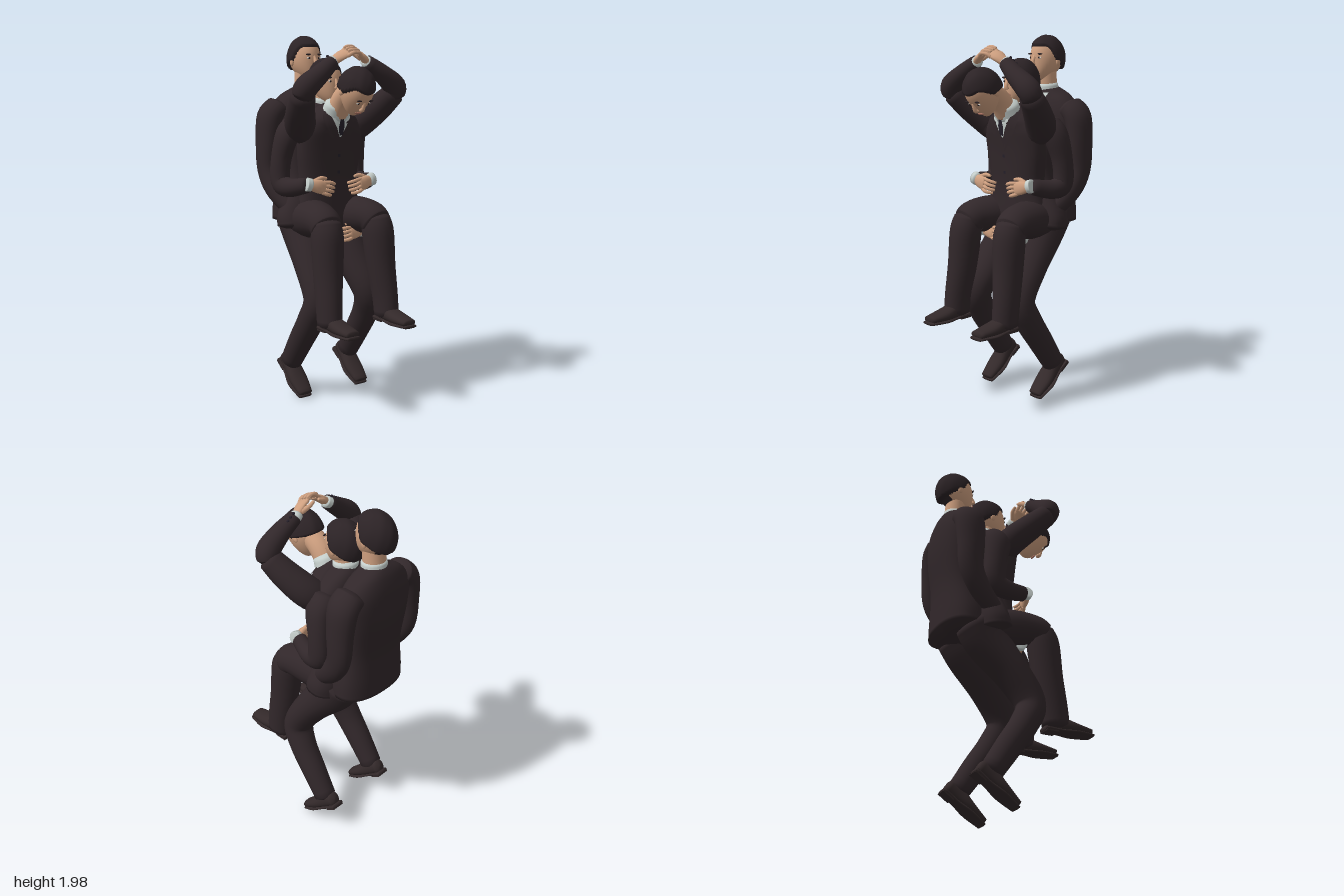
import * as THREE from 'three';
import { mergeGeometries } from 'three/addons/utils/BufferGeometryUtils.js';

const V3 = (x, y, z) => new THREE.Vector3(x, y, z);
const X = V3(1, 0, 0), Y = V3(0, 1, 0), Z = V3(0, 0, 1);
const mat = (name, color) => Object.assign(new THREE.MeshStandardMaterial({ color }), { name });

// Smooth closed body through stations [x, y, z, half width along ref, half depth]
function loft(stations, ref = X, seg = 20, power = 1) {
  const pos = new THREE.CatmullRomCurve3(stations.map(s => V3(s[0], s[1], s[2])), false, 'catmullrom');
  const rad = new THREE.CatmullRomCurve3(stations.map(s => V3(s[3], s[4] ?? s[3], 0)), false, 'catmullrom');
  const steps = (stations.length - 1) * 5, verts = [], index = [];
  const bend = v => Math.sign(v) * Math.abs(v) ** power;
  const ring = (t, scale, push) => {
    const T = pos.getTangent(t), r = rad.getPoint(t);
    const U = ref.clone().addScaledVector(T, -T.dot(ref)).normalize(), W = T.clone().cross(U);
    const c = pos.getPoint(t).addScaledVector(T, push * Math.min(r.x, r.y));
    for (let j = 0; j < seg; j++) {
      const a = j / seg * Math.PI * 2;
      verts.push(...c.clone().addScaledVector(U, bend(Math.cos(a)) * r.x * scale)
        .addScaledVector(W, bend(Math.sin(a)) * r.y * scale).toArray());
    }
  };
  ring(0, 0.001, -0.35); ring(0, 0.65, -0.25);
  for (let i = 0; i <= steps; i++) ring(i / steps, 1, 0);
  ring(1, 0.65, 0.25); ring(1, 0.001, 0.35);
  for (let i = 0; i < steps + 4; i++) for (let j = 0; j < seg; j++) {
    const a = i * seg + j, b = i * seg + (j + 1) % seg;
    index.push(a, b, a + seg, b, b + seg, a + seg);
  }
  return build(verts, index);
}

function build(verts, index) {
  const g = new THREE.BufferGeometry();
  g.setAttribute('position', new THREE.Float32BufferAttribute(verts, 3));
  g.setIndex(index);
  g.computeVertexNormals();
  return g;
}

// Mirror across x = 0, keeping faces outward
function mirrored(g) {
  const m = g.clone().scale(-1, 1, 1), i = m.index.array;
  for (let k = 0; k < i.length; k += 3) [i[k], i[k + 1]] = [i[k + 1], i[k]];
  m.computeVertexNormals();
  return m;
}

// Reshape a unit sphere by a rule
function blob(rule, w = 40, h = 30) {
  const g = new THREE.SphereGeometry(1, w, h), p = g.attributes.position;
  for (let i = 0; i < p.count; i++) p.setXYZ(i, ...rule(p.getX(i), p.getY(i), p.getZ(i)));
  g.computeVertexNormals();
  return g;
}
const ellipsoid = (x, y, z, a, b, c) => blob((u, v, w) => [x + u * a, y + v * b, z + w * c], 16, 12);

// Hand: fingers along +x, back of the hand +y, thumb on +z
function handGeometry() {
  const parts = [loft([[-0.02, 0, 0, 0.026, 0.021], [0.03, 0.004, 0, 0.036, 0.018], [0.072, 0, 0, 0.037, 0.013]], Z, 14)];
  for (let k = 0; k < 4; k++) {
    const z = (k - 1.5) * 0.019, l = k === 0 ? 0.85 : 1;
    parts.push(loft([[0.06, 0, z, 0.0105], [0.06 + 0.037 * l, 0.003, z * 1.15, 0.01],
      [0.06 + 0.062 * l, -0.01, z * 1.15, 0.009], [0.06 + 0.076 * l, -0.028, z * 1.1, 0.0075]], Z, 8));
  }
  parts.push(loft([[0.01, -0.006, 0.02, 0.016], [0.045, -0.014, 0.046, 0.012], [0.08, -0.02, 0.052, 0.008]], Y, 8));
  return mergeGeometries(parts);
}

// Shoe: heel at the origin, sole on y = 0, toe along +z
function shoeGeometry() {
  return mergeGeometries([
    loft([[0, 0.05, 0.01, 0.036, 0.04], [0, 0.05, 0.08, 0.043, 0.045], [0, 0.038, 0.17, 0.054, 0.032], [0, 0.03, 0.27, 0.042, 0.02]], X, 20, 0.9),
    loft([[0, 0.012, 0, 0.04, 0.012], [0, 0.01, 0.09, 0.042, 0.009], [0, 0.01, 0.18, 0.06, 0.009], [0, 0.012, 0.28, 0.042, 0.009]], X, 20, 0.7),
    new THREE.BoxGeometry(0.074, 0.022, 0.07).translate(0, 0.008, 0.035)
  ].map(g => { g.deleteAttribute('uv'); return g; }));
}

export function createModel() {
  const model = new THREE.Group();
  const suit = mat('suit cloth', 0x31272a), hairMat = mat('dark hair', 0x2c2326), skin = mat('skin', 0xcfa080);
  const shirt = mat('shirt', 0xc5cecb), tieMat = mat('tie', 0x25202a), leather = mat('shoe leather', 0x33292a);
  const lips = mat('lips', 0xa87060), white = mat('eye white', 0xd8d4cc);

  const add = (parent, name, geo, material) => {
    const m = new THREE.Mesh(geo, material);
    m.name = name;
    parent.add(m);
    return m;
  };
  const pair = (parent, name, geo, material) => {
    add(parent, name + 'Left', geo, material);
    add(parent, name + 'Right', mirrored(geo), material);
  };
  const man = name => { const g = new THREE.Group(); g.name = name; model.add(g); return g; };

  // Head, facing +z about its own centre
  function head(parent, x, y, z, tilt = 0) {
    const g = new THREE.Group();
    g.name = 'head';
    g.position.set(x, y, z);
    g.rotation.x = tilt;
    parent.add(g);
    add(g, 'face', blob((u, v, w) => {
      const t = Math.max(0, -v);
      return [u * 0.081 * (1 - 0.25 * t * t), v * 0.122, w * 0.1 + 0.045 * t * t];
    }), skin);
    add(g, 'hair', blob((u, v, w) => {
      const line = w > 0 ? -0.12 + 0.66 * THREE.MathUtils.smoothstep(w, 0.05, 0.6) : -0.12 + 0.5 * w;
      const wave = 0.012 * Math.sin(9 * u + 4 * v) * Math.cos(7 * w);
      const k = 0.85 + (0.22 + wave) * THREE.MathUtils.smoothstep(v, line - 0.06, line + 0.06);
      return [u * 0.087 * k, v * 0.119 * k, w * 0.109 * k - 0.004];
    }, 56, 44), hairMat);
    pair(g, 'ear', ellipsoid(0.083, -0.015, -0.005, 0.009, 0.026, 0.016), skin);
    pair(g, 'eye', ellipsoid(0.031, 0.004, 0.09, 0.014, 0.006, 0.004), white);
    pair(g, 'pupil', ellipsoid(0.031, 0.004, 0.093, 0.006, 0.006, 0.003), hairMat);
    pair(g, 'brow', ellipsoid(0.033, 0.024, 0.09, 0.02, 0.005, 0.005), hairMat);
    add(g, 'nose', loft([[0, 0.015, 0.093, 0.008], [0, -0.018, 0.11, 0.011], [0, -0.034, 0.107, 0.015, 0.012]], X, 12), skin);
    add(g, 'mouth', ellipsoid(0, -0.065, 0.1, 0.024, 0.007, 0.005), lips);
  }

  // Panel laid over the front of a torso: rows [y, left x, right x]
  function drape(parent, name, torso, rows, lift, material, twoSided) {
    const ray = new THREE.Raycaster(), verts = [], index = [], n = 7;
    rows.forEach(([y, a, b], i) => {
      for (let j = 0; j < n; j++) {
        const x = a + (b - a) * j / (n - 1);
        ray.set(V3(x, y, 2), V3(0, 0, -1));
        const hit = ray.intersectObject(torso)[0];
        verts.push(x, y, (hit ? hit.point.z : torso.userData.z) + lift);
        if (i && j) {
          const d = i * n + j, c = d - n;
          index.push(c - 1, d - 1, c, c, d - 1, d);
        }
      }
    });
    const g = build(verts, index);
    twoSided ? pair(parent, name, g, material) : add(parent, name, g, material);
  }

  // Shirt front, tie and lapels hanging from a neckline at height y
  function dress(parent, torso, y) {
    const rows = list => list.map(([d, a, b]) => [y - d, a, b]);
    drape(parent, 'shirtFront', torso, rows([[0, -0.07, 0.07], [0.04, -0.06, 0.06], [0.09, -0.03, 0.03], [0.14, -0.004, 0.004]]), 0.004, shirt);
    drape(parent, 'tie', torso, rows([[0.015, -0.016, 0.016], [0.04, -0.01, 0.01], [0.08, -0.018, 0.018], [0.13, -0.012, 0.012]]), 0.009, tieMat);
    drape(parent, 'lapel', torso, rows([[0, 0.07, 0.085], [0.04, 0.056, 0.105], [0.09, 0.028, 0.09], [0.15, 0.004, 0.06], [0.22, -0.004, 0.006]]), 0.007, suit, true);
  }

  function torso(parent, stations) {
    const t = add(parent, 'jacket', loft(stations, X, 40, 0.85), suit);
    t.userData.z = stations.at(-1)[2] + stations.at(-1)[4];
    return t;
  }

  // Place a mirrored pair of hands with white cuffs
  function hands(parent, wrist, dir, back) {
    const d = V3(...dir).normalize(), side = d.clone().cross(V3(...back)).normalize();
    const m = new THREE.Matrix4().makeBasis(d, side.clone().cross(d), side).setPosition(...wrist);
    pair(parent, 'hand', handGeometry().applyMatrix4(m), skin);
    pair(parent, 'cuff', loft([[-0.035, 0, 0, 0.037, 0.032], [-0.008, 0, 0, 0.035, 0.03]], Z, 16).applyMatrix4(m), shirt);
  }

  const shoes = (parent, x, y, z, tilt) =>
    pair(parent, 'shoe', shoeGeometry().rotateX(tilt).translate(x, y, z), leather);

  // Rear man: upright, on his toes with bent knees
  const rear = man('rearMan');
  const rearJacket = torso(rear, [[0, 0.99, -0.28, 0.22, 0.125], [0, 1.08, -0.28, 0.215, 0.125], [0, 1.25, -0.295, 0.19, 0.11],
    [0, 1.45, -0.31, 0.21, 0.115], [0, 1.58, -0.315, 0.215, 0.108], [0, 1.66, -0.315, 0.165, 0.09], [0, 1.71, -0.31, 0.075, 0.065]]);
  dress(rear, rearJacket, 1.69);
  add(rear, 'collar', loft([[0, 1.69, -0.31, 0.072, 0.068], [0, 1.735, -0.305, 0.066, 0.064]]), shirt);
  add(rear, 'neck', loft([[0, 1.69, -0.31, 0.06], [0, 1.83, -0.3, 0.058]]), skin);
  head(rear, 0, 1.875, -0.305);
  pair(rear, 'sleeve', loft([[0.17, 1.61, -0.315, 0.07, 0.08], [0.225, 1.56, -0.315, 0.068, 0.085], [0.245, 1.43, -0.315, 0.058, 0.078],
    [0.247, 1.27, -0.31, 0.052, 0.068], [0.23, 1.15, -0.24, 0.052, 0.06], [0.18, 1.03, -0.1, 0.045, 0.045], [0.14, 0.95, -0.02, 0.038, 0.038]]), suit);
  hands(rear, [0.13, 0.935, 0.035], [-1, -0.05, 0.2], [0, 0.1, 1]);
  pair(rear, 'trouserLeg', loft([[0.115, 1.02, -0.22, 0.115, 0.12], [0.115, 0.92, -0.15, 0.115, 0.12], [0.14, 0.76, -0.02, 0.105, 0.095],
    [0.165, 0.6, 0.075, 0.088, 0.083], [0.185, 0.48, 0.03, 0.076, 0.075], [0.192, 0.34, -0.065, 0.068, 0.07], [0.195, 0.2, -0.16, 0.06, 0.062]]), suit);
  shoes(rear, 0.192, 0.175, -0.262, 0.61);

  // Middle man: pressed between the others, reaching around the waist
  const middle = man('middleMan');
  const midJacket = torso(middle, [[0, 0.975, -0.14, 0.275, 0.13], [0, 1.05, -0.15, 0.265, 0.12], [0, 1.22, -0.16, 0.19, 0.1],
    [0, 1.42, -0.14, 0.205, 0.1], [0, 1.53, -0.13, 0.2, 0.09], [0, 1.6, -0.125, 0.14, 0.08], [0, 1.64, -0.12, 0.07, 0.06]]);
  dress(middle, midJacket, 1.62);
  add(middle, 'collar', loft([[0, 1.61, -0.12, 0.07], [0, 1.66, -0.115, 0.066]]), shirt);
  add(middle, 'neck', loft([[0, 1.6, -0.12, 0.058], [0, 1.72, -0.105, 0.056]]), skin);
  head(middle, 0, 1.752, -0.1);
  pair(middle, 'sleeve', loft([[0.17, 1.53, -0.14, 0.06, 0.075], [0.22, 1.47, -0.145, 0.06, 0.075], [0.245, 1.34, -0.17, 0.053, 0.062],
    [0.25, 1.22, -0.17, 0.05, 0.062], [0.24, 1.19, -0.1, 0.05, 0.052], [0.205, 1.21, 0.015, 0.04, 0.042]]), suit);
  hands(middle, [0.185, 1.212, 0.045], [-0.95, -0.22, 0.22], [0.2, 0.1, 1]);

  // Front man: seated, head bowed, hands clasped over it
  const front = man('frontMan');
  const frontJacket = torso(front, [[0, 0.94, -0.09, 0.16, 0.09], [0, 1.03, -0.09, 0.2, 0.11], [0, 1.2, -0.085, 0.175, 0.1],
    [0, 1.38, -0.07, 0.195, 0.095], [0, 1.5, -0.055, 0.195, 0.095], [0, 1.57, -0.03, 0.14, 0.085], [0, 1.61, -0.01, 0.075, 0.07]]);
  dress(front, frontJacket, 1.6);
  for (const y of [1.36, 1.27]) drape(front, 'jacketButton', frontJacket, [[y + 0.008, -0.008, 0.008], [y - 0.008, -0.008, 0.008]], 0.006, tieMat);
  add(front, 'collar', loft([[0, 1.575, -0.01, 0.085, 0.07], [0, 1.635, 0.02, 0.074, 0.066]]), shirt);
  add(front, 'neck', loft([[0, 1.58, 0, 0.062], [0, 1.66, 0.06, 0.06], [0, 1.71, 0.13, 0.058]]), skin);
  head(front, 0, 1.712, 0.182, 0.87);
  pair(front, 'upperSleeve', loft([[0.14, 1.48, -0.07, 0.075, 0.07], [0.2, 1.53, -0.045, 0.085, 0.078], [0.255, 1.61, 0.04, 0.077, 0.072],
    [0.293, 1.69, 0.125, 0.064, 0.06]], X), suit);
  pair(front, 'foreSleeve', loft([[0.3, 1.68, 0.125, 0.055, 0.056], [0.285, 1.73, 0.14, 0.062, 0.062], [0.2, 1.795, 0.14, 0.053, 0.05],
    [0.115, 1.855, 0.125, 0.04, 0.038]], Z), suit);
  for (let k = 0; k < 3; k++) pair(front, 'sleeveButton', ellipsoid(0.135 + k * 0.019, 1.885 - k * 0.014, 0.113, 0.008, 0.007, 0.008), tieMat);
  hands(front, [0.093, 1.868, 0.127], [-0.82, 0.52, 0.22], [0.35, 0.75, 0.35]);
  pair(front, 'thigh', loft([[0.115, 1, -0.16, 0.11, 0.1], [0.135, 1.02, -0.02, 0.11, 0.105], [0.158, 1.02, 0.1, 0.095, 0.09], [0.165, 0.99, 0.15, 0.086, 0.082]]), suit);
  pair(front, 'shin', loft([[0.165, 1.02, 0.14, 0.078, 0.075], [0.168, 0.94, 0.157, 0.086, 0.09], [0.176, 0.76, 0.175, 0.077, 0.085],
    [0.187, 0.6, 0.198, 0.066, 0.08], [0.19, 0.49, 0.21, 0.062, 0.078]]), suit);
  shoes(front, 0.187, 0.452, 0.14, 0);

  return model;
}
